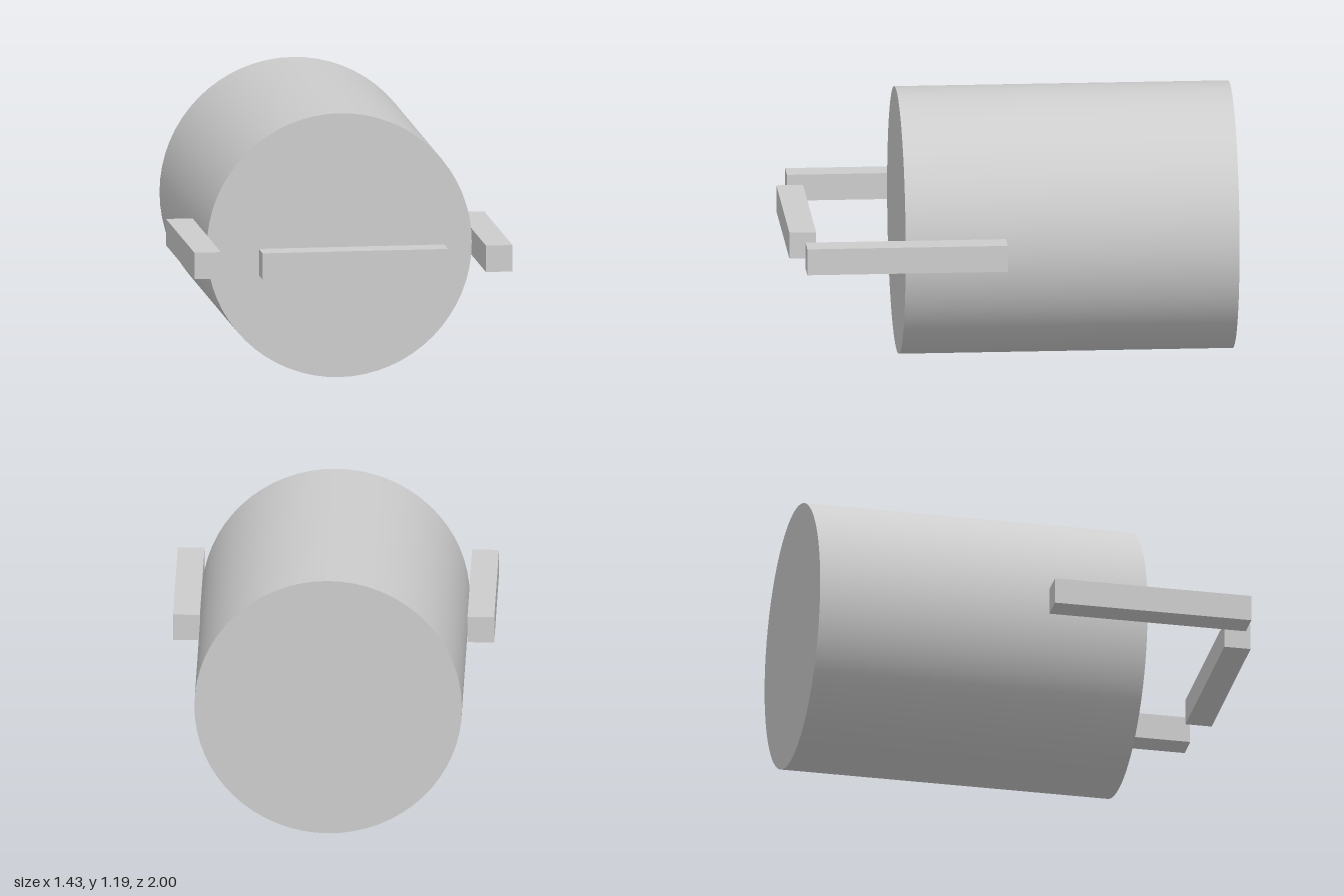
import * as THREE from 'three';

export function createModel() {
  const group = new THREE.Group();
  const grey = new THREE.MeshStandardMaterial({ color: 0xcccccc });
  grey.name = 'light grey';

  const unit = 2 / 3.35; // body radius
  const bar = 0.2 * unit; // bar thickness
  const length = 2.5 * unit;
  const frontZ = -1 + length;

  function add(name, geometry, x, y, z) {
    const mesh = new THREE.Mesh(geometry, grey);
    mesh.name = name;
    mesh.position.set(x, y, z);
    group.add(mesh);
  }

  // Drum lying along z
  const drum = new THREE.CylinderGeometry(unit, unit, length, 64).rotateX(Math.PI / 2);
  add('body', drum, 0, unit, -1 + length / 2);

  // Side bars, half overlapping the drum's front end
  for (const [name, side] of [['leftBar', 1], ['rightBar', -1]]) {
    add(name, new THREE.BoxGeometry(bar, bar, 1.5 * unit), side * 1.1 * unit, unit, frontZ);
  }

  // Free-standing bar ahead of the drum
  add('frontBar', new THREE.BoxGeometry(1.4 * unit, bar, bar), 0, unit, 1 - bar / 2);

  return group;
}
